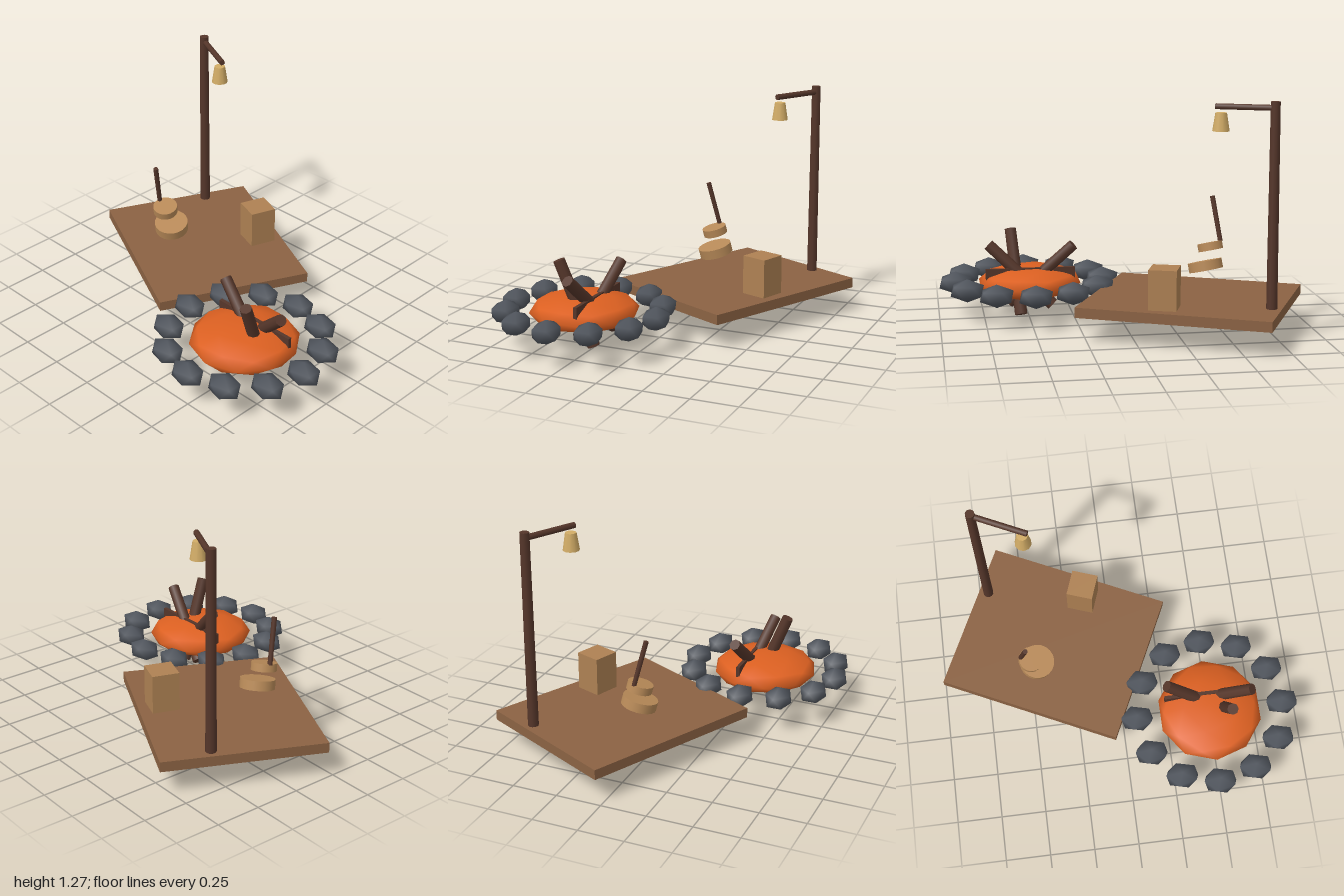
import * as THREE from 'three';

const mat = (name, color) => {
  const m = new THREE.MeshStandardMaterial({ color });
  m.name = name;
  return m;
};

export function createModel() {
  const group = new THREE.Group();
  const deckWood = mat('deck wood', 0x8b6243);
  const darkWood = mat('dark wood', 0x55362a);
  const paleWood = mat('pale wood', 0xae8153);
  const seatWood = mat('seat wood', 0xb88a58);
  const stoneGrey = mat('stone grey', 0x50555d);
  const ember = mat('ember orange', 0xdc6021);
  const lampGlow = mat('lamp yellow', 0xd2ac66);

  const add = (name, geometry, material, x, y, z) => {
    const mesh = new THREE.Mesh(geometry, material);
    mesh.name = name;
    mesh.position.set(x, y, z);
    group.add(mesh);
    return mesh;
  };

  // Round bar between two points
  const bar = (name, a, b, rBottom, rTop, sides = 8) => {
    const from = new THREE.Vector3(...a), to = new THREE.Vector3(...b);
    const dir = to.clone().sub(from);
    const mid = from.clone().add(to).multiplyScalar(0.5);
    const mesh = add(name, new THREE.CylinderGeometry(rTop, rBottom, dir.length(), sides), darkWood, mid.x, mid.y, mid.z);
    mesh.quaternion.setFromUnitVectors(new THREE.Vector3(0, 1, 0), dir.normalize());
  };

  // Icosphere standing on one of its points, with smooth normals
  const icosphere = (detail) => {
    const g = new THREE.IcosahedronGeometry(1, detail);
    g.rotateX(-Math.atan((1 + Math.sqrt(5)) / 2));
    g.rotateY(-Math.PI / 2);
    g.setAttribute('normal', g.attributes.position.clone());
    return g;
  };

  // Deck and crate
  add('deck', new THREE.BoxGeometry(1.042, 0.055, 0.868), deckWood, -0.34, 0.178, -0.195).rotation.y = -0.447;
  add('crate', new THREE.BoxGeometry(0.148, 0.215, 0.148), paleWood, -0.145, 0.311, -0.438).rotation.y = -0.343;

  // Lamp post, arm and shade
  bar('lampPost', [-0.69, 0.148, -0.545], [-0.69, 1.28, -0.545], 0.029, 0.025, 10);
  bar('lampArm', [-0.69, 1.248, -0.548], [-0.41, 1.248, -0.412], 0.016, 0.016);
  add('lampShade', new THREE.CylinderGeometry(0.03, 0.045, 0.095, 10), lampGlow, -0.438, 1.168, -0.42);

  // Tilted round seats with an upright stick
  const up = new THREE.Vector3(0, 1, 0);
  const tilt = new THREE.Vector3(0.16, 1, 0.22).normalize();
  [['lowerSeat', 0.095, 0.052, -0.45, 0.333, -0.037], ['upperSeat', 0.069, 0.043, -0.48, 0.437, -0.02]]
    .forEach(([name, r, h, x, y, z]) => {
      add(name, new THREE.CylinderGeometry(r, r, h, 20), seatWood, x, y, z).quaternion.setFromUnitVectors(up, tilt);
    });
  bar('stick', [-0.535, 0.465, -0.028], [-0.5, 0.71, 0.028], 0.013, 0.014);

  // Ember bed
  const cx = 0.49, cz = 0.325;
  add('emberBed', icosphere(1), ember, cx, 0.2, cz).scale.set(0.295, 0.092, 0.295);

  // Ring of stones
  const stone = icosphere(0);
  for (let i = 0; i < 12; i++) {
    const a = i * Math.PI / 6;
    add('stone', stone, stoneGrey, cx + 0.415 * Math.cos(a), 0.202, cz + 0.415 * Math.sin(a)).scale.set(0.102, 0.065, 0.078);
  }

  // Crossed logs and the flat board behind them
  bar('log', [0.61, 0.085, 0.3], [0.25, 0.42, 0.225], 0.035, 0.032);
  bar('log', [0.37, 0.085, 0.215], [0.72, 0.42, 0.3], 0.035, 0.032);
  bar('log', [0.545, 0.025, 0.245], [0.587, 0.485, 0.42], 0.035, 0.032);
  add('board', new THREE.BoxGeometry(0.5, 0.08, 0.02), darkWood, 0.49, 0.25, 0.25);

  return group;
}
